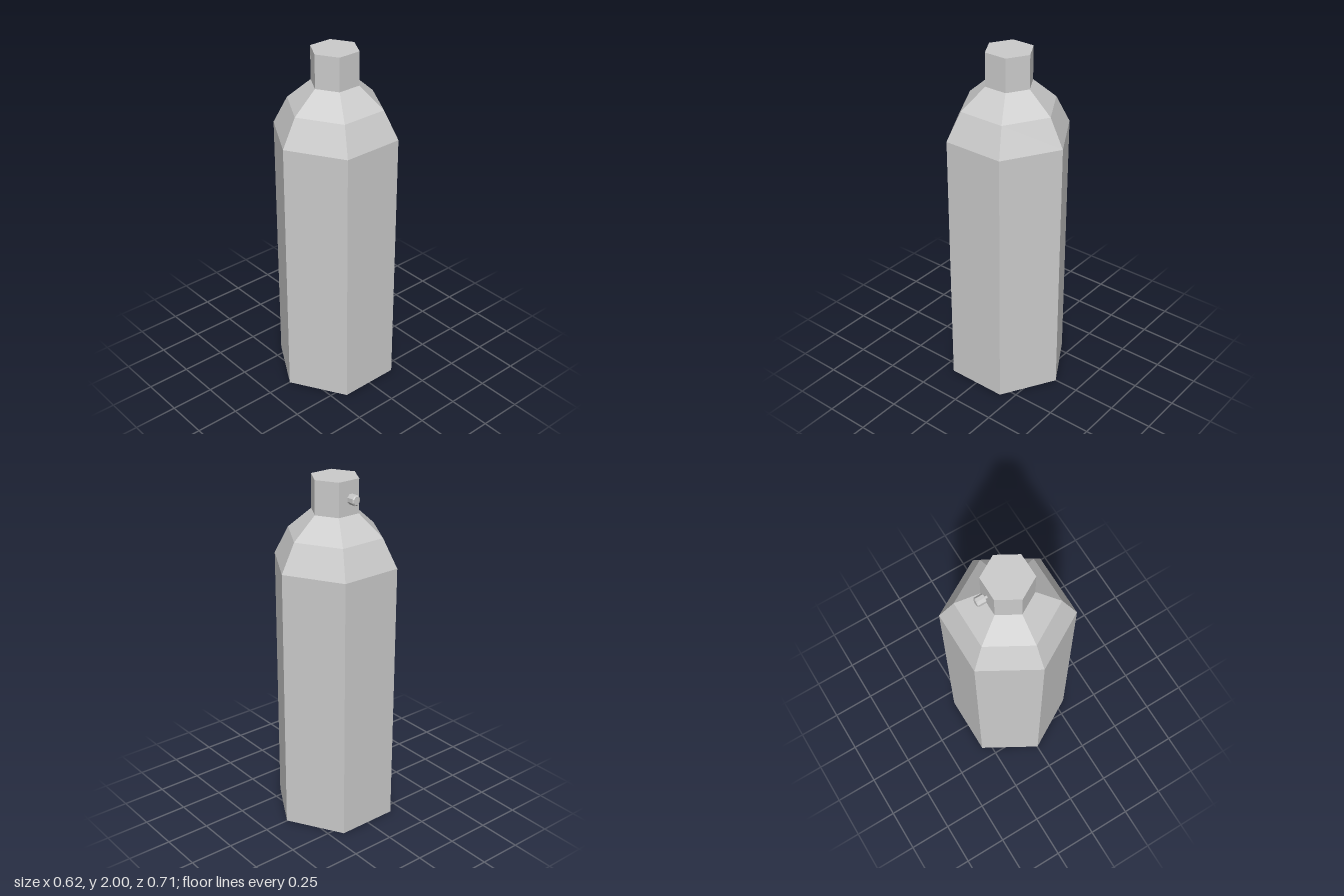
import * as THREE from 'three';

const material = new THREE.MeshStandardMaterial({ color: 0xcccccc, flatShading: true, side: THREE.DoubleSide });

// Faceted solid of revolution from [radius, height] pairs
function turned(name, profile, sides, start = 0) {
  const points = profile.map(([r, y]) => new THREE.Vector2(r, y));
  const mesh = new THREE.Mesh(new THREE.LatheGeometry(points, sides, start), material);
  mesh.name = name;
  return mesh;
}

export function createModel() {
  const model = new THREE.Group();
  model.name = 'gasCylinder';

  // Hexagonal tank with a two-step shoulder and a straight neck
  model.add(turned('tank', [[0, 0], [0.355, 0], [0.355, 1.53], [0.272, 1.69], [0.135, 1.81]], 6));
  model.add(turned('neck', [[0.135, 1.81], [0.135, 1.999], [0, 1.999]], 6));

  // Small side valve, its axis pointing to -x
  const valve = new THREE.Group();
  valve.name = 'valve';
  valve.add(turned('valveStem', [[0.009, 0.1], [0.009, 0.14]], 8, Math.PI / 8));
  valve.add(turned('valveKnob',
    [[0, 0.135], [0.0255, 0.135], [0.0255, 0.178], [0.02, 0.183], [0, 0.183]], 8, Math.PI / 8));
  valve.rotation.z = Math.PI / 2;
  valve.scale.x = 1.15;
  valve.position.set(0.002, 1.905, -0.001);
  model.add(valve);

  // The bottle leans very slightly to -x
  model.rotation.z = 0.0028;
  model.position.set(0.0015, 0.0005, 0);
  const group = new THREE.Group();
  group.add(model);
  return group;
}
